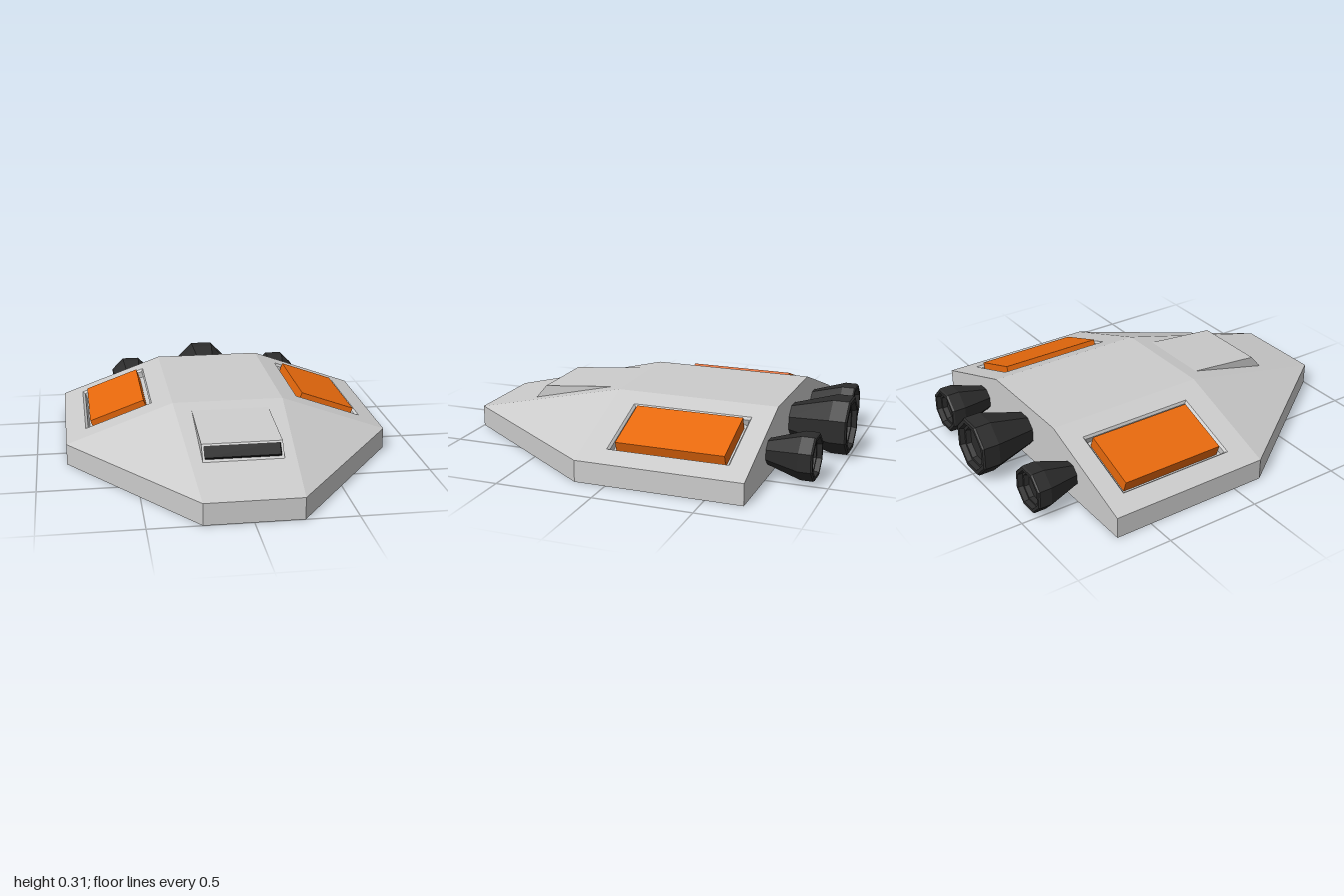
import * as THREE from 'three';

const material = (color) => new THREE.MeshStandardMaterial({ color, flatShading: true });
const GREY = material(0xcccccc), ORANGE = material(0xe8690c);
const DARK = material(0x2c2c2c), BLACK = material(0x080808);

// Hull dimensions
const BACK = -0.69, SHOULDER = 0.16, NOSE = 1;
const WIDE = 0.845, ROOF = 0.29, TIP = 0.24, EDGE_Y = 0.11, ROOF_Y = 0.31;

// Mesh from flat convex polygons, corners counter-clockwise from outside
function polyMesh(name, polygons, mat) {
  const pos = [];
  for (const p of polygons) {
    for (let i = 1; i < p.length - 1; i++) pos.push(...p[0], ...p[i], ...p[i + 1]);
  }
  const geo = new THREE.BufferGeometry();
  geo.setAttribute('position', new THREE.Float32BufferAttribute(pos, 3));
  geo.computeVertexNormals();
  const mesh = new THREE.Mesh(geo, mat);
  mesh.name = name;
  return mesh;
}

const mirror = (p) => p.map(([x, y, z]) => [-x, y, z]).reverse();

// Band of quads from an outer loop to an inner loop
const ring = (outer, inner) => outer.map((a, i) => {
  const j = (i + 1) % outer.length;
  return [a, outer[j], inner[j], inner[i]];
});

// Point on the sloping side deck, raised by d along its normal
const run = WIDE - ROOF, drop = ROOF_Y - EDGE_Y, len = Math.hypot(run, drop);
const onSlope = (x, z, d = 0) =>
  [x + d * drop / len, ROOF_Y - (x - ROOF) * drop / run + d * run / len, z];
const slopeRect = (x0, x1, z0, z1, d = 0) =>
  [onSlope(x0, z1, d), onSlope(x1, z1, d), onSlope(x1, z0, d), onSlope(x0, z0, d)];

function hull() {
  const plan = [[-TIP, NOSE], [TIP, NOSE], [WIDE, SHOULDER], [WIDE, BACK], [-WIDE, BACK], [-WIDE, SHOULDER]];
  const end = [[-WIDE, 0], [WIDE, 0], [WIDE, EDGE_Y], [ROOF, ROOF_Y], [-ROOF, ROOF_Y], [-WIDE, EDGE_Y]];
  // Side deck with a sunken rectangular bay
  const deck = slopeRect(ROOF, WIDE, BACK, SHOULDER);
  const rim = slopeRect(0.39, 0.74, -0.585, 0.035);
  const lip = slopeRect(0.4, 0.73, -0.575, 0.025, -0.012);
  const floor = slopeRect(0.4, 0.73, -0.575, 0.025, -0.045);
  const side = [
    ...ring(deck, rim), ...ring(rim, lip), ...ring(lip, floor), floor,
    [[WIDE, 0, SHOULDER], [WIDE, 0, BACK], [WIDE, EDGE_Y, BACK], [WIDE, EDGE_Y, SHOULDER]],
    [[TIP, 0, NOSE], [WIDE, 0, SHOULDER], [WIDE, EDGE_Y, SHOULDER], [TIP, EDGE_Y, NOSE]],
    [[TIP, EDGE_Y, NOSE], [WIDE, EDGE_Y, SHOULDER], [ROOF, ROOF_Y, SHOULDER]],
  ];
  return polyMesh('hull', [
    ...side, ...side.map(mirror),
    plan.map(([x, z]) => [x, 0, z]).reverse(),
    end.map(([x, y]) => [x, y, BACK]).reverse(),
    [[-TIP, 0, NOSE], [TIP, 0, NOSE], [TIP, EDGE_Y, NOSE], [-TIP, EDGE_Y, NOSE]],
    [[-TIP, EDGE_Y, NOSE], [TIP, EDGE_Y, NOSE], [ROOF, ROOF_Y, SHOULDER], [-ROOF, ROOF_Y, SHOULDER]],
    [[-ROOF, ROOF_Y, SHOULDER], [ROOF, ROOF_Y, SHOULDER], [ROOF, ROOF_Y, BACK], [-ROOF, ROOF_Y, BACK]],
  ], GREY);
}

// Orange slab lying in a deck bay
function panel(side) {
  const thick = 0.064;
  const mesh = new THREE.Mesh(new THREE.BoxGeometry(0.302, thick, 0.555), ORANGE);
  const [x, y, z] = onSlope(0.565, -0.275, 0.019 - thick / 2);
  mesh.position.set(side * x, y, z);
  mesh.rotation.z = -side * Math.atan2(drop, run);
  mesh.name = side > 0 ? 'leftPanel' : 'rightPanel';
  return mesh;
}

// Wedge hood with a black slot in its front
function intake() {
  const group = new THREE.Group();
  group.name = 'intake';
  const w = 0.2, back = [0.291, 0.24], top = [0.255, 0.63], base = [0.184, 0.69];
  const at = (t) => [base[0] + (top[0] - base[0]) * t, base[1] + (top[1] - base[1]) * t];
  const face = (hw, t0, t1, inset = 0) =>
    [[-hw, t0], [hw, t0], [hw, t1], [-hw, t1]].map(([x, t]) => [x, at(t)[0], at(t)[1] - inset]);
  const cheek = [[w, ...base], [w, ...back], [w, ...top]];
  const slot = face(0.188, 0.15, 0.87), deep = face(0.188, 0.15, 0.87, 0.02);
  group.add(
    polyMesh('hood', [
      cheek, mirror(cheek), ...ring(face(w, 0, 1), slot),
      [[-w, ...top], [w, ...top], [w, ...back], [-w, ...back]],
    ], GREY),
    polyMesh('slot', [...ring(slot, deep), deep], BLACK),
  );
  return group;
}

// Eight-sided nozzle pointing backwards, hollow at the end
function engine(name, x, y, radius, neck, flare, length) {
  const k = 1 / Math.cos(Math.PI / 8); // flat-to-flat size to corner radius
  const profile = [
    [0, -0.01], [neck, -0.01], [neck, 0], [radius, flare], [radius, length - 0.008],
    [radius * 0.95, length], [radius * 0.82, length], [radius * 0.78, length - 0.025],
    [radius * 0.68, length - 0.025], [radius * 0.64, length - 0.05], [0, length - 0.05],
  ].map(([r, h]) => new THREE.Vector2(r * k, h));
  const mesh = new THREE.Mesh(new THREE.LatheGeometry(profile, 8, Math.PI / 8), DARK);
  mesh.rotation.x = -Math.PI / 2;
  mesh.position.set(x, y, BACK);
  mesh.name = name;
  return mesh;
}

export function createModel() {
  const model = new THREE.Group();
  model.name = 'spacecraft';
  model.add(hull(), intake(), panel(1), panel(-1));
  model.add(engine('mainEngine', 0, 0.16, 0.14, 0.08, 0.22, 0.31));
  for (const s of [1, -1]) {
    model.add(engine(s > 0 ? 'leftEngine' : 'rightEngine', s * 0.44, 0.13, 0.11, 0.06, 0.17, 0.24));
  }
  return model;
}
